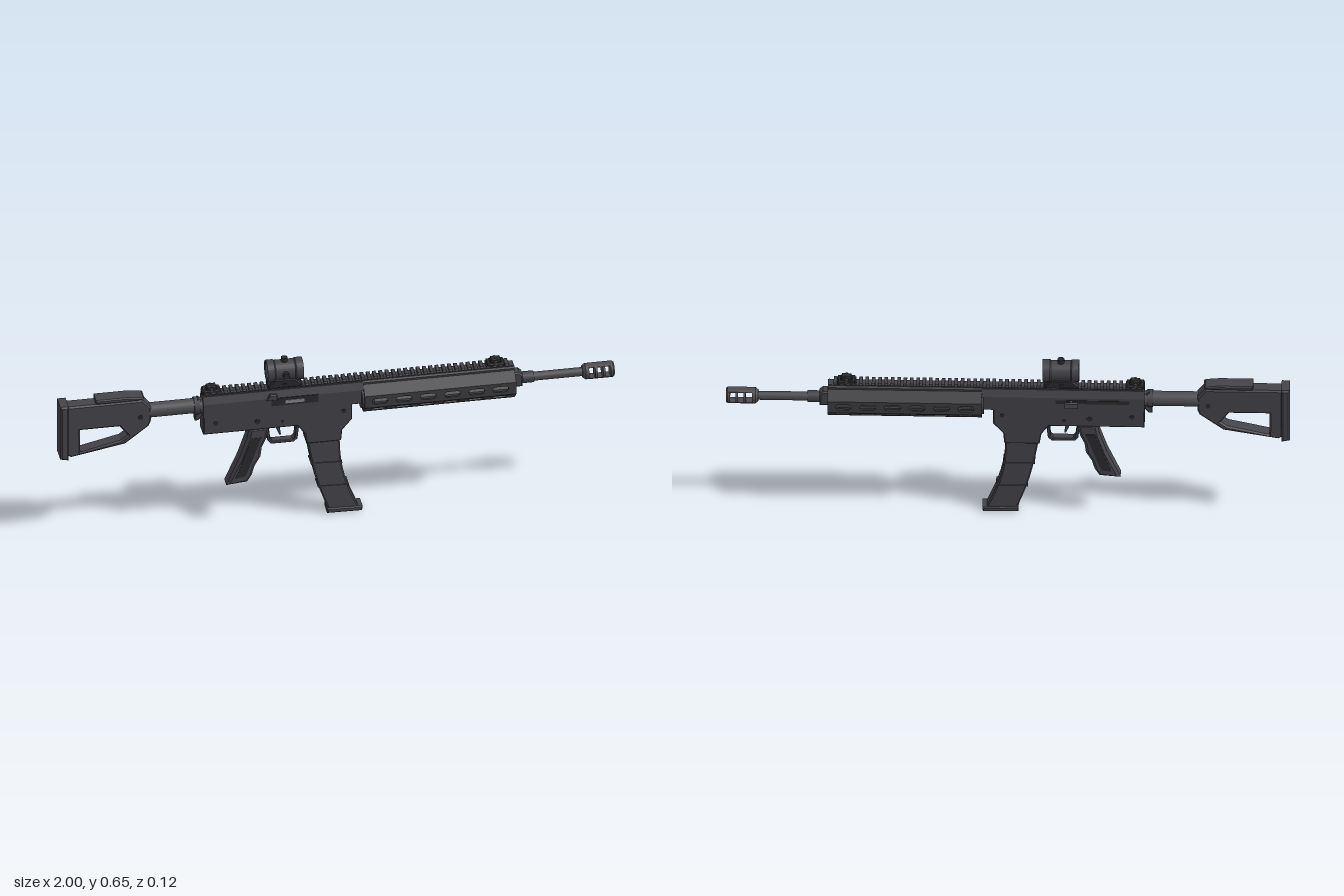
import * as THREE from 'three';

const mat = (name, color) => Object.assign(new THREE.MeshStandardMaterial({ color }), { name });

export function createModel() {
  const metal = mat('dark metal', 0x424247);
  const polymer = mat('dark polymer', 0x444349);
  const guardGrey = mat('handguard grey', 0x3b3b3e);
  const steel = mat('barrel steel', 0x4b4b4f);
  const black = mat('black detail', 0x29292c);
  const bright = mat('bolt steel', 0x858588);
  const glass = mat('blue lens glass', 0x3d6478);
  const model = new THREE.Group();
  model.name = 'model';

  const add = (name, geo, m, x = 0, y = 0, z = 0) => {
    const mesh = new THREE.Mesh(geo, m);
    mesh.name = name;
    mesh.position.set(x, y, z);
    model.add(mesh);
    return mesh;
  };
  // box given by its limits, centred on z unless offset
  const box = (name, m, x0, x1, y0, y1, w, z = 0) =>
    add(name, new THREE.BoxGeometry(x1 - x0, y1 - y0, w), m, (x0 + x1) / 2, (y0 + y1) / 2, z);
  // cylinder lying along x
  const rod = (name, m, x0, x1, y, r, n = 24, r2 = r) =>
    add(name, new THREE.CylinderGeometry(r2, r, x1 - x0, n).rotateZ(-Math.PI / 2), m, (x0 + x1) / 2, y);
  // cylinder lying along z
  const pin = (name, m, x, y, z0, z1, r, n = 16) =>
    add(name, new THREE.CylinderGeometry(r, r, z1 - z0, n).rotateX(Math.PI / 2), m, x, y, (z0 + z1) / 2);
  const shapeOf = (pts, holes = []) => {
    const s = new THREE.Shape(pts.map(p => new THREE.Vector2(...p)));
    holes.forEach(h => s.holes.push(new THREE.Path(h.map(p => new THREE.Vector2(...p)))));
    return s;
  };
  // side outline given thickness w across z, with bevelled edges
  const slab = (name, m, pts, w, b = 0.005, holes = []) => {
    const g = new THREE.ExtrudeGeometry(shapeOf(pts, holes), {
      depth: w - 2 * b, bevelEnabled: b > 0, bevelSize: b, bevelThickness: b, bevelOffset: -b, bevelSegments: 1,
    }).translate(0, 0, -w / 2 + b);
    return add(name, g, m);
  };
  // cross-section (half z, y) mirrored and swept along x
  const sweepX = (name, m, half, x0, x1) => {
    const pts = [...half, ...half.map(([z, y]) => [-z, y]).reverse()];
    const g = new THREE.ExtrudeGeometry(shapeOf(pts), { depth: x1 - x0, bevelEnabled: false }).rotateY(Math.PI / 2);
    return add(name, g, m, x0);
  };

  // Stock
  slab('stock', polymer, [[-0.975, 0.345], [-0.96, 0.335], [-0.765, 0.37], [-0.68, 0.435], [-0.672, 0.455], [-0.672, 0.51],
    [-0.7, 0.545], [-0.975, 0.545]], 0.054, 0.006,
  [[[-0.927, 0.444], [-0.785, 0.444], [-0.755, 0.405], [-0.78, 0.386], [-0.927, 0.352]]]);
  slab('buttPad', polymer, [[-1, 0.335], [-0.97, 0.328], [-0.97, 0.552], [-1, 0.552]], 0.074, 0.006);
  slab('cheekRest', polymer, [[-0.87, 0.545], [-0.72, 0.545], [-0.695, 0.552], [-0.7, 0.557], [-0.75, 0.562], [-0.87, 0.562]], 0.056, 0.004);
  for (const s of [-1, 1]) pin('stockPin', black, -0.71, 0.475, s * 0.027 - 0.002, s * 0.027 + 0.002, 0.009);

  // Stock tube with its collar
  rod('stockTube', steel, -0.69, -0.47, 0.487, 0.027);
  rod('tubeCollar', metal, -0.515, -0.495, 0.487, 0.032, 12);
  slab('endPlate', metal, [[-0.512, 0.432], [-0.5, 0.432], [-0.485, 0.45], [-0.485, 0.51], [-0.5, 0.52], [-0.512, 0.5]], 0.03, 0.003);

  // Receivers
  sweepX('upperReceiver', metal, [[0.034, 0.45], [0.034, 0.505], [0.022, 0.532]], -0.485, 0.092);
  slab('lowerReceiver', metal, [[-0.485, 0.38], [-0.145, 0.38], [-0.12, 0.345], [-0.113, 0.302], [0.012, 0.302], [0.016, 0.345],
    [0.052, 0.388], [0.052, 0.454], [-0.485, 0.454]], 0.066, 0.004);
  box('portCover', black, -0.24, -0.07, 0.475, 0.506, 0.004, 0.034);
  box('bolt', bright, -0.19, -0.122, 0.483, 0.496, 0.006, 0.035);
  slab('shellDeflector', metal, [[-0.26, 0.5], [-0.215, 0.5], [-0.22, 0.52], [-0.245, 0.522]], 0.018, 0.003).position.z = 0.03;
  box('handleSlot', black, -0.43, -0.17, 0.482, 0.496, 0.004, -0.034);
  pin('chargingHandle', steel, -0.225, 0.49, -0.058, -0.03, 0.006);
  box('handleKnob', steel, -0.25, -0.203, 0.481, 0.502, 0.01, -0.06);
  for (const s of [-1, 1]) {
    for (const [x, y, r] of [[-0.44, 0.425, 0.008], [0.02, 0.425, 0.008], [-0.2, 0.405, 0.006], [-0.29, 0.415, 0.01]])
      pin('receiverPin', black, x, y, s * 0.033 - 0.002, s * 0.033 + 0.002, r);
  }

  // Grip with finger swells, trigger and guard
  slab('grip', polymer, [[-0.318, 0.385], [-0.325, 0.345], [-0.352, 0.265], [-0.4, 0.155], [-0.325, 0.162], [-0.308, 0.19],
    [-0.298, 0.225], [-0.277, 0.262], [-0.272, 0.3], [-0.256, 0.335], [-0.245, 0.385]], 0.06, 0.01);
  for (const s of [-1, 1]) {
    slab('gripPanel', black, [[-0.31, 0.345], [-0.275, 0.345], [-0.332, 0.19], [-0.368, 0.185]], 0.004, 0).position.z = s * 0.0295;
  }
  slab('triggerGuard', metal, [[-0.256, 0.385], [-0.25, 0.32], [-0.238, 0.305], [-0.155, 0.305], [-0.142, 0.318], [-0.135, 0.385]], 0.03, 0.002,
    [[[-0.246, 0.38], [-0.24, 0.325], [-0.233, 0.316], [-0.16, 0.316], [-0.152, 0.324], [-0.147, 0.38]]]);
  slab('trigger', steel, [[-0.222, 0.385], [-0.217, 0.36], [-0.206, 0.335], [-0.2, 0.335], [-0.204, 0.36], [-0.2, 0.385]], 0.014, 0.002);

  // Curved magazine
  const rear = [[-0.11, 0.31], [-0.093, 0.215], [-0.07, 0.12], [-0.033, 0.015]];
  const fore = [[0.076, 0.015], [0.035, 0.12], [0.014, 0.215], [0.008, 0.31]];
  const arc = pts => new THREE.CatmullRomCurve3(pts.map(([x, y]) => new THREE.Vector3(x, y, 0))).getPoints(9).map(p => [p.x, p.y]);
  slab('magazine', polymer, [...arc(rear), ...arc(fore)], 0.05, 0.005);
  for (const [a, b, y] of [[-0.096, 0.017, 0.21], [-0.071, 0.042, 0.112]])
    slab('magazineRib', polymer, [[a, y], [b, y - 0.004], [b - 0.001, y + 0.002], [a - 0.001, y + 0.006]], 0.056, 0);
  slab('magazineBase', polymer, [[-0.038, 0.002], [0.088, 0], [0.09, 0.018], [-0.038, 0.022]], 0.06, 0.004);

  // Octagonal slotted handguard, one plate per side
  const axisY = 0.467, apothem = 0.058, wall = 0.008, half = apothem * Math.tan(Math.PI / 8);
  for (let k = 0; k < 8; k++) {
    const s = shapeOf([[0.092, -half], [0.638, -half], [0.638, half], [0.092, half]]);
    if (k <= 4) {
      for (let i = 0; i < 6; i++) {
        const x = 0.147 + i * 0.087, r = 0.011, h = new THREE.Path();
        h.absarc(x + 0.017, 0, r, -Math.PI / 2, Math.PI / 2);
        h.absarc(x - 0.017, 0, r, Math.PI / 2, Math.PI * 1.5);
        s.holes.push(h);
      }
    }
    const g = new THREE.ExtrudeGeometry(s, { depth: wall, bevelEnabled: false, curveSegments: 6 })
      .translate(0, 0, apothem - wall).rotateX(k * Math.PI / 4);
    add('handguardPlate', g, guardGrey, 0, axisY);
  }
  rod('barrelNut', metal, 0.085, 0.13, axisY, 0.05, 16);
  sweepX('railBed', guardGrey, [[0.026, 0.515], [0.026, 0.53], [0.02, 0.535]], 0.092, 0.638);

  // Top rail teeth
  box('railBase', metal, -0.48, 0.634, 0.528, 0.537, 0.036);
  for (let x = -0.475; x < 0.625; x += 0.0225)
    sweepX('railTooth', metal, [[0.018, 0.535], [0.024, 0.541], [0.02, 0.547]], x, x + 0.0125);

  // Folding sights
  for (const [x, name] of [[-0.452, 'rearSight'], [0.572, 'frontSight']]) {
    slab(name + 'Base', black, [[x - 0.034, 0.54], [x + 0.034, 0.54], [x + 0.03, 0.554], [x - 0.03, 0.554]], 0.044, 0.003);
    slab(name, black, [[x - 0.022, 0.55], [x + 0.024, 0.55], [x + 0.016, 0.568], [x - 0.016, 0.568]], 0.026, 0.003);
    pin(name + 'Pivot', metal, x, 0.555, -0.025, 0.025, 0.006);
  }

  // Barrel, gas block and gas tube
  const boreY = 0.473;
  rod('barrel', steel, 0.1, 0.9, boreY, 0.016);
  rod('gasTube', steel, 0.13, 0.64, boreY + 0.03, 0.008, 12);
  slab('gasBlock', metal, [[0.625, 0.447], [0.668, 0.447], [0.668, 0.495], [0.655, 0.506], [0.625, 0.506]], 0.044, 0.005);
  rod('gasBlockSleeve', metal, 0.668, 0.71, boreY, 0.021);

  // Muzzle brake: solid rings joined by top and bottom bridges
  const mr = 0.029;
  rod('muzzleNeck', steel, 0.885, 0.895, boreY, 0.021, 24, mr);
  for (const [a, b] of [[0.895, 0.907], [0.929, 0.937], [0.957, 0.965], [0.985, 0.994]]) rod('muzzleRing', steel, a, b, boreY, mr);
  rod('muzzleCrown', steel, 0.994, 0.999, boreY, mr, 24, 0.025);
  rod('muzzleBore', black, 0.998, 1, boreY, 0.013);
  for (const c of [-1, 1]) {
    const g = new THREE.CylinderGeometry(mr, mr, 0.088, 8, 1, true, c * Math.PI / 2 - 0.7, 1.4).rotateZ(-Math.PI / 2);
    add('muzzleBridge', g, steel, 0.95, boreY);
    box('muzzleBridgeCore', steel, 0.906, 0.994, boreY - c * 0.0225 - 0.0015, boreY - c * 0.0225 + 0.0015, 0.034);
  }

  // Optic: mount, tube with rims, lenses and turrets
  const oy = 0.602;
  slab('opticMount', black, [[-0.25, 0.54], [-0.13, 0.54], [-0.13, 0.553], [-0.155, 0.575], [-0.225, 0.575], [-0.25, 0.553]], 0.052, 0.004);
  const profile = [[0.033, 0.004], [0.034, 0], [0.04, 0], [0.04, 0.026], [0.037, 0.03], [0.037, 0.1],
    [0.04, 0.104], [0.04, 0.13], [0.034, 0.13], [0.033, 0.126]].map(([r, h]) => new THREE.Vector2(r, h));
  const tube = new THREE.LatheGeometry(profile, 32).rotateZ(-Math.PI / 2).toNonIndexed();
  tube.computeVertexNormals();
  add('opticTube', tube, metal, -0.253, oy);
  rod('opticLens', glass, -0.249, -0.127, oy, 0.0335, 32);
  add('topTurret', new THREE.CylinderGeometry(0.012, 0.012, 0.02, 16), black, -0.188, 0.643);
  pin('sideTurret', black, -0.188, oy, 0.034, 0.051, 0.012);
  pin('mountScrew', black, -0.19, 0.553, -0.03, 0.03, 0.008, 6);

  return model;
}
